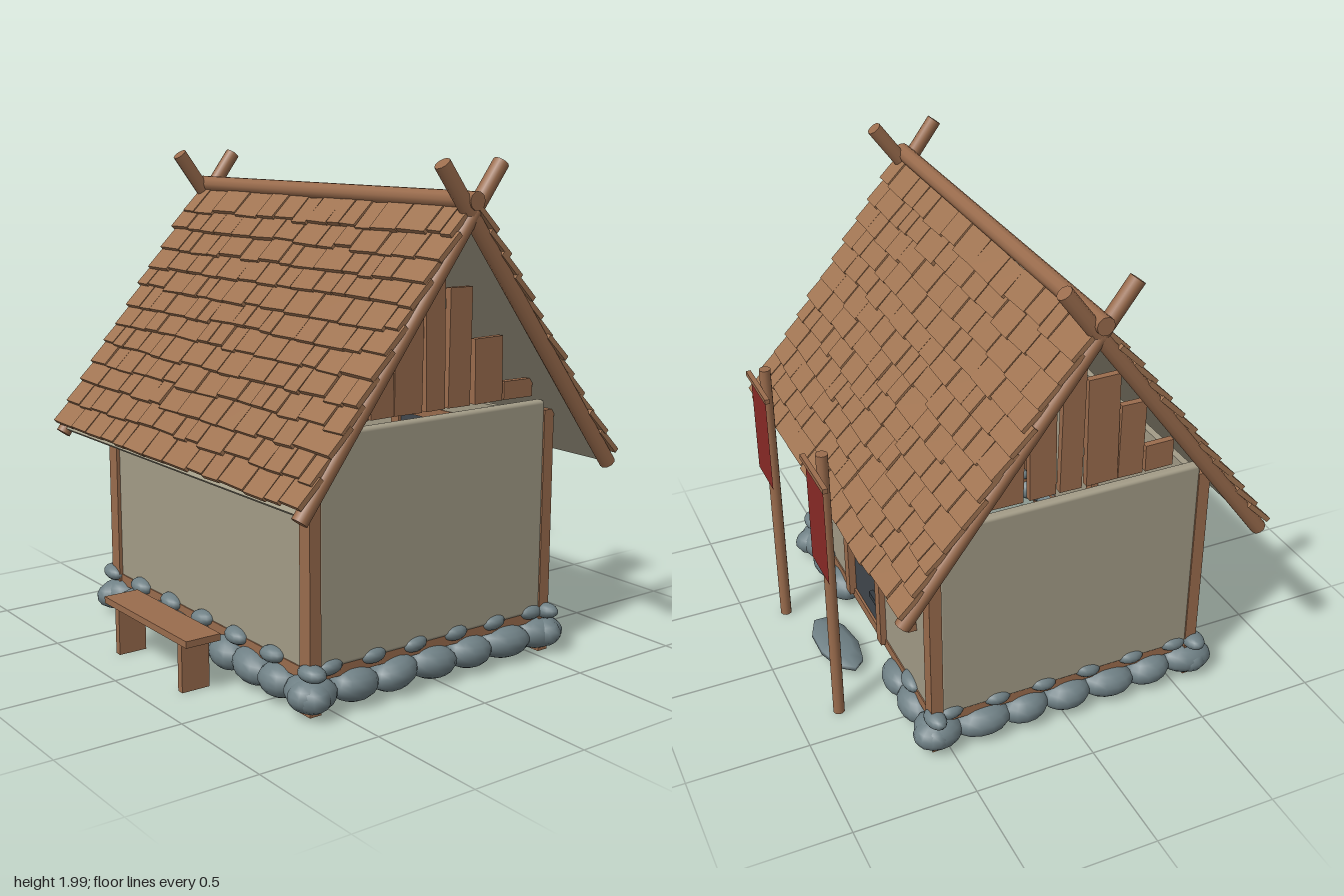
import * as THREE from 'three';
import { mergeGeometries } from 'three/addons/utils/BufferGeometryUtils.js';
import { RoundedBoxGeometry } from 'three/addons/geometries/RoundedBoxGeometry.js';

const mat = (name, color, side = THREE.FrontSide) => {
  const m = new THREE.MeshStandardMaterial({ color, side });
  m.name = name;
  return m;
};
const wood = mat('wood', 0x9a6c4d);
const shingleWood = mat('shingle wood', 0xa07452);
const plaster = mat('plaster', 0xa39c87);
const stone = mat('stone', 0x6f8085);
const doorGrey = mat('dark door', 0x41474d);
const iron = mat('iron', 0x333a40);
const red = mat('banner red', 0x8a2a26, THREE.DoubleSide);

let seed = 7;
const rand = (a, b) => {
  seed = (seed * 16807) % 2147483647;
  return a + (b - a) * seed / 2147483647;
};

export function createModel() {
  const model = new THREE.Group();
  model.name = 'cottage';
  const add = (name, geo, material, x = 0, y = 0, z = 0, parent = model) => {
    const m = new THREE.Mesh(geo, material);
    m.name = name;
    m.position.set(x, y, z);
    parent.add(m);
    return m;
  };
  const box = (name, material, x0, x1, y0, y1, z0, z1, parent = model) =>
    add(name, new THREE.BoxGeometry(x1 - x0, y1 - y0, z1 - z0), material,
      (x0 + x1) / 2, (y0 + y1) / 2, (z0 + z1) / 2, parent);
  const pole = (name, r, len, x, y, z, parent = model) =>
    add(name, new THREE.CylinderGeometry(r, r, len, 10), wood, x, y, z, parent);

  // Corner posts and sill beams
  for (const x of [-0.71, 0.71]) {
    for (const z of [-0.55, 0.585]) {
      box('cornerPost', wood, x - 0.032, x + 0.032, 0.005, 1.0, z - 0.025, z + 0.025);
    }
    box('sideSill', wood, x - 0.02, x + 0.02, 0.13, 0.175, -0.54, 0.58);
  }
  box('frontSill', wood, -0.7, 0.7, 0.13, 0.175, 0.56, 0.6);
  box('backSill', wood, -0.7, 0.7, 0.13, 0.175, -0.565, -0.525);

  // Plaster walls
  for (const x of [-0.715, 0.715]) {
    add('sideWall', new RoundedBoxGeometry(0.045, 0.87, 1.1, 2, 0.015), plaster, x, 0.605, 0.018);
  }
  box('frontWall', plaster, -0.69, 0.69, 0.172, 0.97, 0.565, 0.595);
  box('backWallLeft', plaster, 0.17, 0.69, 0.172, 0.97, -0.56, -0.53);
  box('backWallRight', plaster, -0.69, -0.17, 0.172, 0.97, -0.56, -0.53);
  box('backWallTop', plaster, -0.17, 0.17, 0.85, 0.97, -0.56, -0.53);

  // Inner framing
  box('innerPost', wood, 0.05, 0.1, 0.17, 0.97, 0.53, 0.565);
  for (const x of [-0.675, 0.675]) {
    const b = box('brace', wood, x - 0.015, x + 0.015, 0.15, 1.05, -0.02, 0.02);
    b.position.set(x, 0.58, 0.28);
    b.rotation.x = -0.6;
  }

  // Gable boards: z from, z to, top height
  const boards = [[0.33, 0.45, 1.17], [0.215, 0.32, 1.37], [0.077, 0.208, 1.51], [-0.028, 0.063, 1.655],
    [-0.158, -0.05, 1.51], [-0.32, -0.18, 1.31], [-0.48, -0.33, 1.13]];
  for (const x of [-0.7, 0.7]) {
    boards.forEach(([z0, z1, top], i) => {
      const b = box('gableBoard', wood, x - 0.014, x + 0.014, 1.058, top, z0, z1);
      b.rotation.x = (i % 2 ? 1 : -1) * 0.012;
    });
  }

  // Roof: each slope has its local +z running down from the ridge
  const tilt = 0.9285;
  for (const [name, turn] of [['frontRoof', 0], ['backRoof', Math.PI]]) {
    const side = new THREE.Group();
    side.name = name;
    side.position.set(0, 1.785, 0.01);
    side.rotation.y = turn;
    model.add(side);
    const slope = new THREE.Group();
    slope.name = name + 'Slope';
    slope.rotation.x = tilt;
    side.add(slope);
    box('roofPanel', plaster, -0.87, 0.87, -0.012, 0.012, 0.01, 1.225, slope);
    for (const x of [-0.885, 0.885]) {
      const p = pole('gablePole', 0.031, 1.475, x, 0, 0.507, slope);
      p.rotation.x = Math.PI / 2;
    }
    const tiles = [];
    const rows = 12;
    for (let r = 0; r < rows; r++) {
      const end = 1.215 - r * 0.1;
      let x = -0.91 + rand(-0.012, 0.012);
      while (x < 0.9) {
        let w = rand(0.08, 0.18);
        if (0.91 - x - w < 0.06) w = 0.91 - x + rand(-0.008, 0.012);
        const g = new THREE.BoxGeometry(w - 0.005, 0.02, 0.13);
        g.rotateX(-0.15);
        g.rotateY(rand(-0.03, 0.03));
        g.translate(x + w / 2, 0.036 + rand(-0.003, 0.003), end - 0.065 + rand(-0.01, 0.01));
        tiles.push(g);
        x += w;
      }
    }
    add('shingles', mergeGeometries(tiles), shingleWood, 0, 0, 0, slope);
  }
  pole('ridgeLog', 0.035, 1.85, -0.005, 1.838, 0.01).rotation.z = Math.PI / 2;

  // Foundation stones
  const rock = (x, y, z, sx, sy, sz, turn = 0) => {
    const m = add('foundationStone', new THREE.SphereGeometry(1, 14, 9), stone, x, y, z);
    m.scale.set(sx, sy, sz);
    m.rotation.set(rand(-0.1, 0.1), turn + rand(-0.15, 0.15), rand(-0.12, 0.12));
  };
  const row = (count, place, skip) => {
    for (let i = 0; i < count; i++) {
      const t = i / (count - 1) * 2 - 1;
      if (skip && Math.abs(t) < skip) continue;
      place(t, rand(0.9, 1.1));
    }
  };
  row(9, (t, k) => rock(t * 0.7, 0.08, 0.59, 0.108 * k, 0.066, 0.078));
  row(7, (t) => rock(t * 0.74, 0.172, 0.6, 0.065, 0.032, 0.045));
  row(9, (t, k) => rock(t * 0.7, 0.08, -0.555, 0.108 * k, 0.066, 0.075), 0.35);
  row(7, (t) => rock(t * 0.74, 0.172, -0.56, 0.065, 0.032, 0.04), 0.45);
  for (const x of [-0.715, 0.715]) {
    row(7, (t, k) => rock(x, 0.08, 0.02 + t * 0.56, 0.11 * k, 0.066, 0.08, Math.PI / 2));
    row(6, (t) => rock(x, 0.175, 0.01 + t * 0.5, 0.06, 0.034, 0.045, Math.PI / 2));
  }

  // Door step
  const step = add('doorStep', new THREE.SphereGeometry(1, 9, 5), stone, 0, 0.043, -0.71);
  step.scale.set(0.2, 0.03, 0.09);
  step.rotation.set(0.08, 0.08, 0);

  // Door with jambs, lintel and ironwork
  box('door', doorGrey, -0.17, 0.17, 0.175, 0.85, -0.555, -0.54);
  for (const x of [-0.19, 0.19]) box('doorJamb', wood, x - 0.025, x + 0.025, 0.15, 0.9, -0.585, -0.525);
  box('doorLintel', wood, -0.215, 0.215, 0.85, 0.9, -0.585, -0.525);
  for (const y of [0.31, 0.66]) box('hinge', iron, -0.16, -0.06, y - 0.012, y + 0.012, -0.575, -0.553);
  box('doorHandle', iron, 0.09, 0.115, 0.45, 0.51, -0.58, -0.553);

  // Windows
  for (const x of [-0.405, 0.405]) {
    const w = new THREE.Group();
    w.name = 'window';
    w.position.set(x, 0.625, -0.56);
    model.add(w);
    box('windowPane', doorGrey, -0.14, 0.14, -0.12, 0.12, -0.006, 0.002, w);
    for (const s of [-1, 1]) {
      box('windowSide', wood, s * 0.145 - 0.015, s * 0.145 + 0.015, -0.13, 0.13, -0.03, 0.005, w);
      box('windowRail', wood, -0.165, 0.165, s * 0.127 - 0.016, s * 0.127 + 0.016, -0.035, 0.005, w);
    }
    for (const m of [-0.045, 0.045]) box('mullion', wood, m - 0.007, m + 0.007, -0.12, 0.12, -0.015, 0, w);
  }

  // Banners on poles
  for (const x of [-0.357, 0.352]) {
    pole('bannerPole', 0.024, 1.23, x, 0.617, -0.828);
    box('bannerBar', wood, x - 0.133, x + 0.133, 1.147, 1.167, -0.873, -0.853);
    add('bannerCloth', new THREE.PlaneGeometry(0.2, 0.43), red, x, 0.935, -0.862).rotation.y = Math.PI;
  }

  // Bench
  box('benchSeat', wood, -0.32, 0.32, 0.198, 0.225, 0.72, 0.87);
  for (const x of [-0.245, 0.245]) box('benchLeg', wood, x - 0.015, x + 0.015, 0, 0.2, 0.735, 0.855);

  return model;
}
